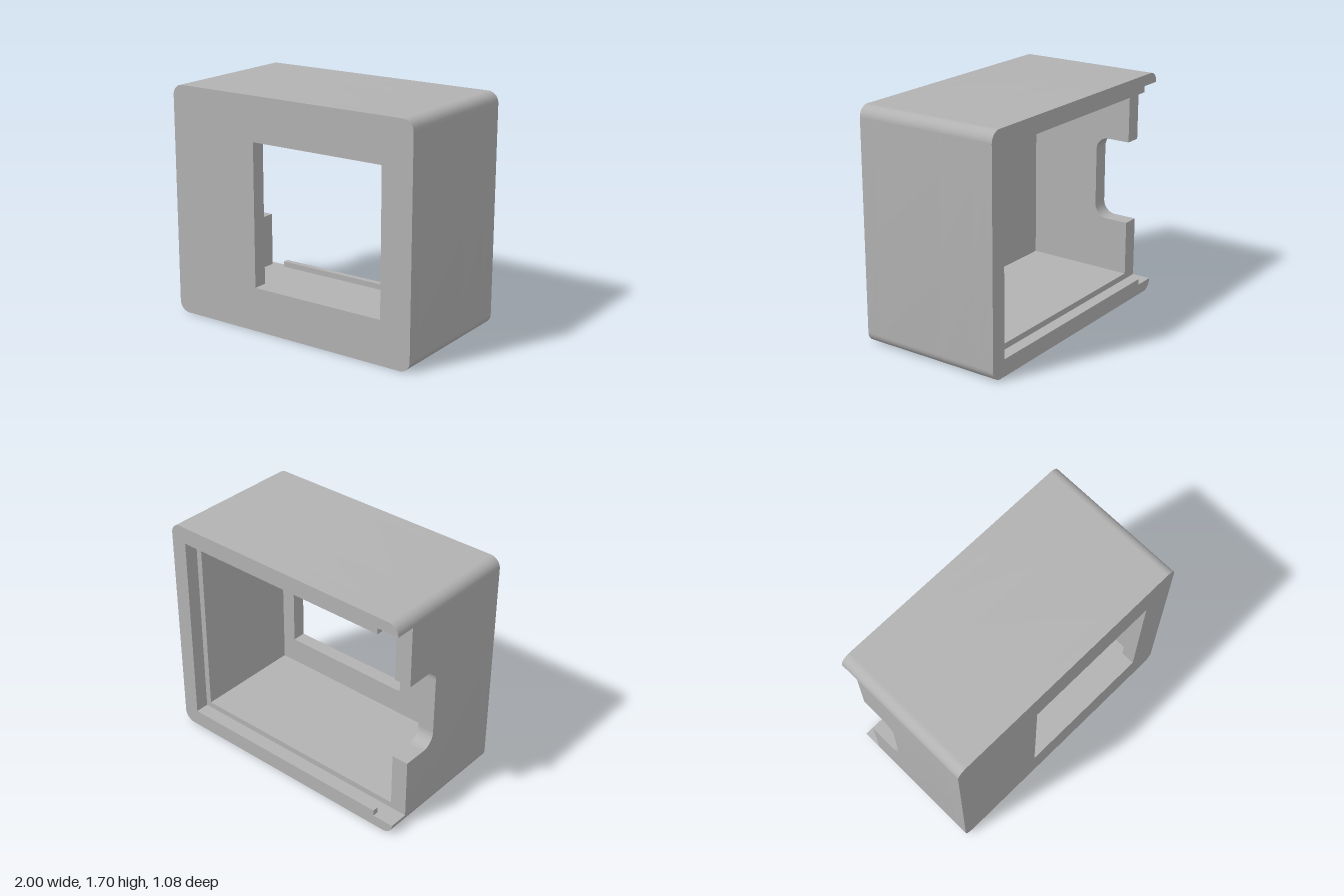
import * as THREE from 'three';
import { toCreasedNormals } from 'three/addons/utils/BufferGeometryUtils.js';

const H = 1.7, R = 0.08;           // outer height and corner radius
const WALL = 0.125, FRONT = 0.54;  // wall thickness and half depth
const LEDGE = -0.396, LIP = -0.495, NOTCH = -0.12; // z of the lid ledge, lip and cable notch

// Outer rounded outline, from the upper right-hand side clockwise to the lower one
function outline() {
  const s = new THREE.Shape();
  s.moveTo(-1, H - R);
  s.absarc(-1 + R, H - R, R, Math.PI, Math.PI / 2, true);
  s.absarc(1 - R, H - R, R, Math.PI / 2, 0, true);
  s.absarc(1 - R, R, R, 0, -Math.PI / 2, true);
  s.absarc(-1 + R, R, R, -Math.PI / 2, -Math.PI, true);
  return s;
}

// Closed frame with a rectangular hole
function frame(x0, x1, y0, y1) {
  const s = outline();
  s.closePath();
  const hole = new THREE.Path();
  hole.moveTo(x0, y0).lineTo(x1, y0).lineTo(x1, y1).lineTo(x0, y1).closePath();
  s.holes.push(hole);
  return s;
}

// Frame open on the -x side; the lower inner points are mirrored to the upper half
function openFrame(lower) {
  const s = outline();
  lower.forEach(([x, y]) => s.lineTo(x, y));
  [...lower].reverse().forEach(([x, y]) => s.lineTo(x, H - y));
  s.closePath();
  return s;
}

function extrude(shape, depth) {
  const g = new THREE.ExtrudeGeometry(shape, { depth, bevelEnabled: false, curveSegments: 10 });
  return toCreasedNormals(g, 0.6);
}

export function createModel() {
  const group = new THREE.Group();
  const grey = new THREE.MeshStandardMaterial({ color: 0xb2b2b2 });
  grey.name = 'grey';

  const layer = (name, shape, z0, z1) => {
    const m = new THREE.Mesh(extrude(shape, z1 - z0), grey);
    m.name = name;
    m.position.z = z0;
    group.add(m);
  };
  const inX = 1 - WALL;

  // Front panel with the off-centre window
  layer('frontPanel', frame(-0.287, 0.765, 0.325, 1.377), 0.433, FRONT);
  // Main walls
  layer('walls', frame(-inX, inX, WALL, H - WALL), NOTCH, 0.433);
  // Walls beside the cable notch
  layer('notchWalls', openFrame([
    [-1, 0.535], [-inX, 0.535], [-inX, WALL], [inX, WALL]]), LEDGE, NOTCH);
  // Wider groove in which a lid slides
  layer('lidGroove', openFrame([[0.92, R], [0.92, R]].slice(0, 1)), LIP, LEDGE);
  // Rear lip, cut away at the lid's entry
  layer('lidLip', openFrame([
    [-0.837, R], [-0.837, WALL], [inX, WALL]]), -FRONT, LIP);

  // Rounded inner corners of the notch
  for (const s of [1, -1]) {
    const r = 0.1, u = -NOTCH, edge = H / 2 + s * 0.315;
    const c = new THREE.Shape();
    c.moveTo(u, edge);
    c.lineTo(u + r, edge);
    c.absarc(u + r, edge - s * r, r, s * Math.PI / 2, s * Math.PI, s < 0);
    c.closePath();
    const g = extrude(c, WALL);
    g.rotateY(Math.PI / 2);
    const m = new THREE.Mesh(g, grey);
    m.name = s > 0 ? 'notchCornerUpper' : 'notchCornerLower';
    m.position.x = -1;
    group.add(m);
  }
  return group;
}
